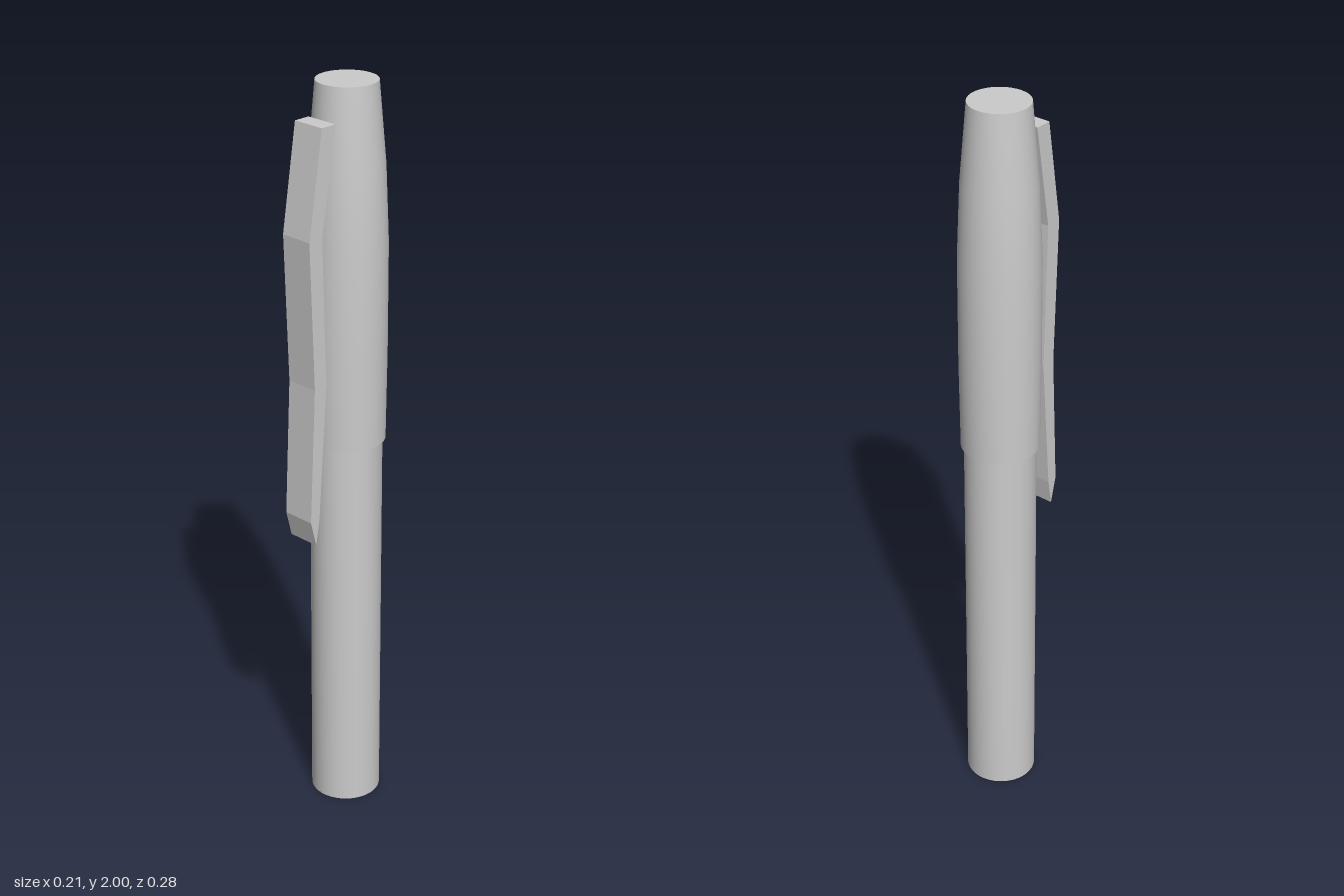
import * as THREE from 'three';
import { toCreasedNormals } from 'three/addons/utils/BufferGeometryUtils.js';

const material = new THREE.MeshStandardMaterial({ color: 0xcccccc });
const AXIS_Z = -0.035; // the clip pushes the pen's axis back from the centre

function addPart(group, name, geometry) {
  const mesh = new THREE.Mesh(geometry, material);
  mesh.name = name;
  group.add(mesh);
  return mesh;
}

// Turned part from [radius, height] points, bottom to top
function turned(points) {
  const profile = points.map(([r, y]) => new THREE.Vector2(r, y));
  return toCreasedNormals(new THREE.LatheGeometry(profile, 40), 0.5);
}

export function createModel() {
  const pen = new THREE.Group();
  pen.name = 'pen';

  // Straight barrel, running up inside the cap
  addPart(pen, 'barrel', turned([[0, 0], [0.093, 0], [0.093, 1.08], [0, 1.08]])).position.z = AXIS_Z;

  // Cap, slightly wider than the barrel and tapering to a flat end
  addPart(pen, 'cap', turned([
    [0.09, 1.06], [0.101, 1.06], [0.104, 1.3], [0.104, 1.59],
    [0.096, 1.79], [0.078, 2], [0, 2],
  ])).position.z = AXIS_Z;

  // Bent clip: side outline as [z, y], extruded across the width
  const width = 0.091;
  const outline = [
    [0.05, 1.915], [0.095, 1.64], [0.082, 1.25], [0.108, 0.885], [0.12, 0.815],
    [0.138, 0.885], [0.122, 1.25], [0.138, 1.64], [0.095, 1.915],
  ];
  const shape = new THREE.Shape(outline.map(([z, y]) => new THREE.Vector2(-z, y)));
  const clip = new THREE.ExtrudeGeometry(shape, { depth: width, bevelEnabled: false });
  clip.translate(0, 0, -width / 2);
  clip.rotateY(Math.PI / 2); // shape x becomes -z
  addPart(pen, 'clip', clip);

  return pen;
}
